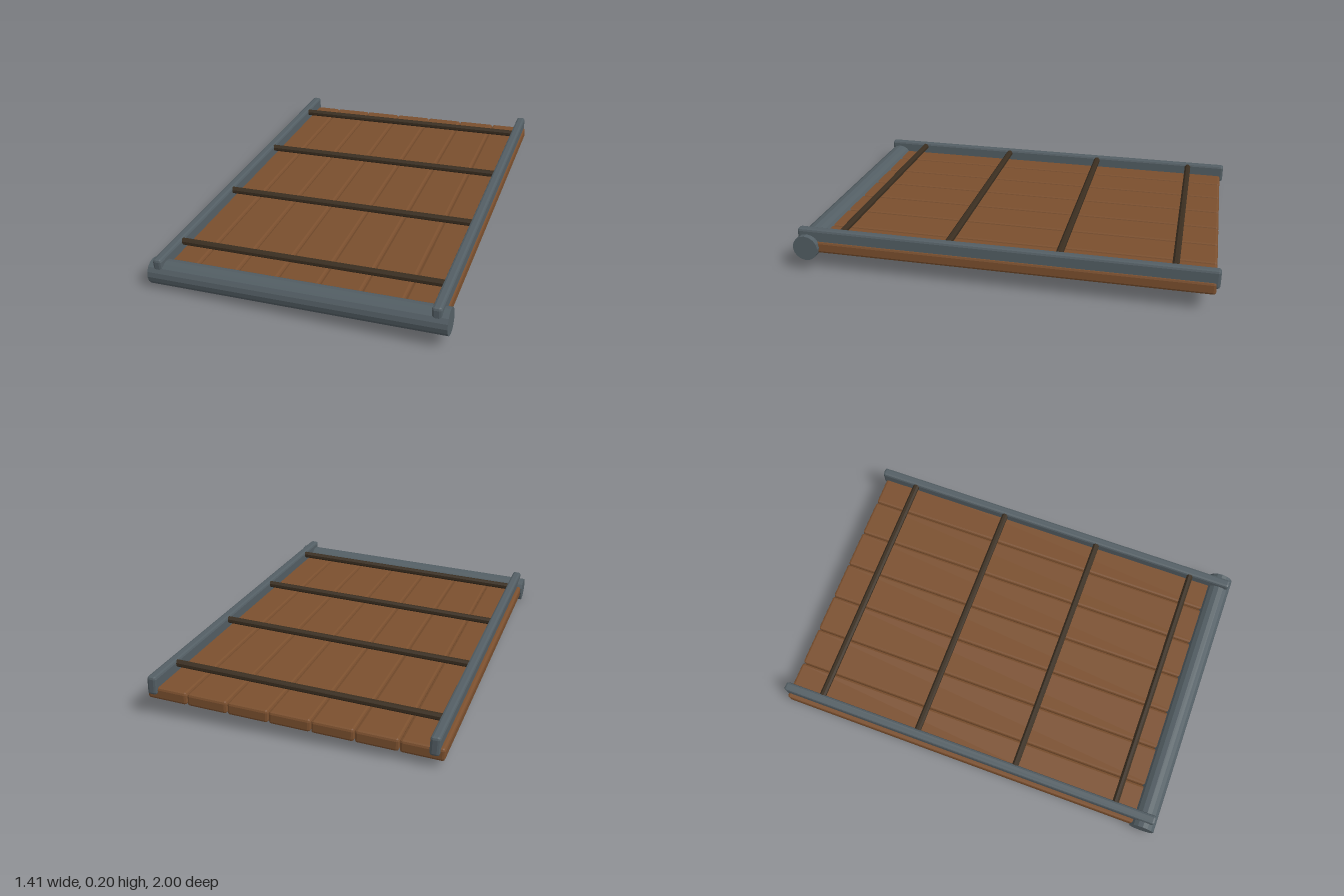
import * as THREE from 'three';
import { RoundedBoxGeometry } from 'three/addons/geometries/RoundedBoxGeometry.js';

const material = (color) => new THREE.MeshStandardMaterial({ color, flatShading: true });

export function createModel() {
  const model = new THREE.Group();
  model.name = 'plankPanel';

  const wood = material(0x7a4f2e);
  const steel = material(0x535e64);
  const darkIron = material(0x3a2e20);

  // The whole panel leans slightly, its left side raised
  const panel = new THREE.Group();
  panel.name = 'tiltedPanel';
  panel.position.y = 0.09;
  panel.rotation.z = 0.039;
  model.add(panel);

  const add = (name, geometry, mat, x, y, z) => {
    const mesh = new THREE.Mesh(geometry, mat);
    mesh.name = name;
    mesh.position.set(x, y, z);
    panel.add(mesh);
    return mesh;
  };

  // Seven bevelled planks side by side
  const pitch = 0.198;
  const plank = new RoundedBoxGeometry(pitch - 0.003, 0.06, 1.945, 1, 0.012);
  for (let i = 0; i < 7; i++) add(`plank${i + 1}`, plank, wood, (i - 3) * pitch - 0.007, 0.001, -0.0125);

  // Side rails
  const rail = new RoundedBoxGeometry(0.045, 0.09, 1.985, 1, 0.012);
  add('leftRail', rail, steel, 0.655, 0.043, -0.0075);
  add('rightRail', rail, steel, -0.655, 0.043, -0.0075);

  // Cross rods between the rails
  const rod = new THREE.CylinderGeometry(0.017, 0.017, 1.31, 8);
  rod.rotateY(Math.PI / 8);
  rod.rotateZ(Math.PI / 2);
  for (let i = 0; i < 4; i++) add(`crossRod${i + 1}`, rod, darkIron, 0, 0.069, -0.8 + i * 0.525);

  // Round hinge bar along the front edge
  const bar = new THREE.CylinderGeometry(0.062, 0.062, 1.41, 16);
  bar.rotateZ(Math.PI / 2);
  add('hingeBar', bar, steel, 0, 0, 0.938);

  return model;
}
